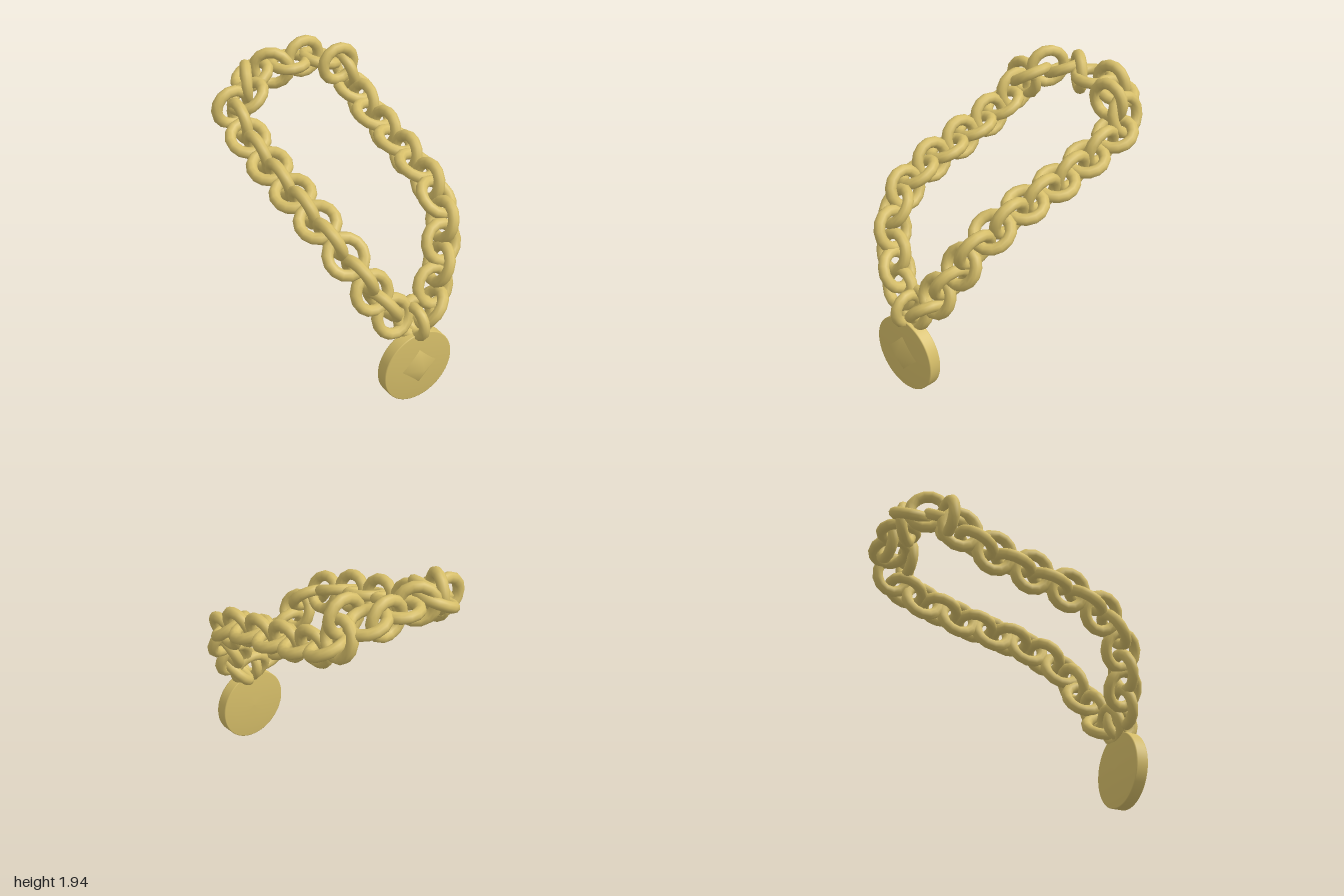
import * as THREE from 'three';
import { mergeVertices } from 'three/addons/utils/BufferGeometryUtils.js';

const V = (a) => new THREE.Vector3(a[0], a[1], a[2]);

// Shares the vertices across edges so the whole piece shades softly
function soften(geo) {
  geo.deleteAttribute('normal');
  geo.deleteAttribute('uv');
  const merged = mergeVertices(geo, 1e-4);
  merged.computeVertexNormals();
  return merged;
}

export function createModel() {
  const model = new THREE.Group();
  const gold = new THREE.MeshStandardMaterial({ color: 0xd6be69 });
  gold.name = 'gold';
  const linkGeo = new THREE.TorusGeometry(0.12, 0.039, 10, 14);

  const add = (geo, name, parent) => {
    const m = new THREE.Mesh(geo, gold);
    m.name = name;
    parent.add(m);
    return m;
  };

  // One ring: local x runs along the chain, local z is the ring's axis
  const addLink = (parent, name, centre, along, normal, stretch) => {
    const n = normal.clone().normalize();
    const x = along.clone().addScaledVector(n, -along.dot(n)).normalize();
    const y = n.clone().cross(x);
    const m = add(linkGeo, name, parent);
    m.quaternion.setFromRotationMatrix(new THREE.Matrix4().makeBasis(x, y, n));
    m.position.copy(centre);
    m.scale.set(stretch, 1, 1);
  };

  // Side runs of the chain, from the pendant to the back; flat and upright links alternate
  const leftRun = [
    [0.03, 0.615, 0.81], [0.15, 0.645, 0.81], [0.2, 0.775, 0.77], [0.28, 0.895, 0.72], [0.33, 1.02, 0.67],
    [0.385, 1.14, 0.6], [0.42, 1.24, 0.48], [0.44, 1.295, 0.35], [0.445, 1.34, 0.21], [0.455, 1.37, 0.07],
    [0.46, 1.4, -0.065], [0.465, 1.435, -0.2], [0.465, 1.475, -0.345], [0.47, 1.52, -0.48],
    [0.475, 1.575, -0.61],
  ];
  const rightRun = [
    [-0.145, 0.685, 0.8], [-0.205, 0.79, 0.77], [-0.27, 0.89, 0.74], [-0.33, 1.02, 0.69], [-0.385, 1.14, 0.61],
    [-0.425, 1.22, 0.49], [-0.44, 1.285, 0.36], [-0.455, 1.325, 0.22], [-0.455, 1.36, 0.08],
    [-0.465, 1.395, -0.06], [-0.465, 1.43, -0.2], [-0.47, 1.47, -0.34], [-0.47, 1.515, -0.475],
    [-0.465, 1.59, -0.59],
  ];
  const outward = new THREE.Vector3(0, 0.35, 0.94);
  for (const [name, run, side] of [['leftChain', leftRun, 1], ['rightChain', rightRun, -1]]) {
    const chain = new THREE.Group();
    chain.name = name;
    model.add(chain);
    const pts = run.map(V);
    pts.forEach((p, i) => {
      const t = pts[Math.min(i + 1, pts.length - 1)].clone().sub(pts[Math.max(i - 1, 0)]).normalize();
      const flat = outward.clone().addScaledVector(t, -outward.dot(t)).normalize();
      // Links along the sides lean slightly outward
      flat.applyAxisAngle(t, side * 0.2 * t.z * t.z);
      const upright = t.clone().cross(flat);
      addLink(chain, i % 2 ? 'uprightLink' : 'flatLink', p, t, i % 2 ? upright : flat, 1.05);
    });
  }

  // Loosely turned links across the back: centre, axis
  const backLinks = [
    [[0.465, 1.675, -0.715], [1, 0.26, 0]],
    [[0.37, 1.77, -0.65], [0, 0, 1]],
    [[0.31, 1.77, -0.8], [0.3, 1, 0]],
    [[0.21, 1.785, -0.86], [0, 0, 1]],
    [[0.07, 1.79, -0.83], [0, 1, 0]],
    [[-0.07, 1.78, -0.83], [-0.6, 0, 0.8]],
    [[-0.22, 1.76, -0.845], [-0.45, 0.9, 0]],
    [[-0.31, 1.765, -0.765], [0.9, 0, 0.43]],
    [[-0.365, 1.72, -0.65], [-0.55, 0.83, 0]],
    [[-0.465, 1.655, -0.685], [0, 0, 1]],
  ];
  const back = new THREE.Group();
  back.name = 'backChain';
  model.add(back);
  for (const [c, n] of backLinks) addLink(back, 'backLink', V(c), new THREE.Vector3(1, 0.01, 0.02), V(n), 1.03);

  // Pendant: bail ring, gently domed disc and raised diamond
  const pendant = new THREE.Group();
  pendant.name = 'pendant';
  model.add(pendant);
  const bail = add(new THREE.TorusGeometry(0.1, 0.038, 10, 14), 'bail', pendant);
  bail.rotation.y = Math.PI / 2;
  bail.position.set(0, 0.618, 0.862);
  const half = [[0, 0.06], [0.09, 0.058], [0.18, 0.053], [0.264, 0.045], [0.27, 0.042], [0.27, 0.036]];
  const profile = [
    ...half.map(([r, h]) => new THREE.Vector2(r, -h)),
    ...half.map(([r, h]) => new THREE.Vector2(r, h)).reverse(),
  ];
  const disc = add(new THREE.LatheGeometry(profile, 64), 'disc', pendant);
  disc.rotation.x = Math.PI / 2;
  disc.position.set(0, 0.27, 0.865);
  const diamond = add(soften(new THREE.ConeGeometry(0.153, 0.073, 4, 1, true)), 'diamond', pendant);
  diamond.rotation.x = Math.PI / 2;
  diamond.position.set(0, 0.277, 0.949);

  return model;
}
